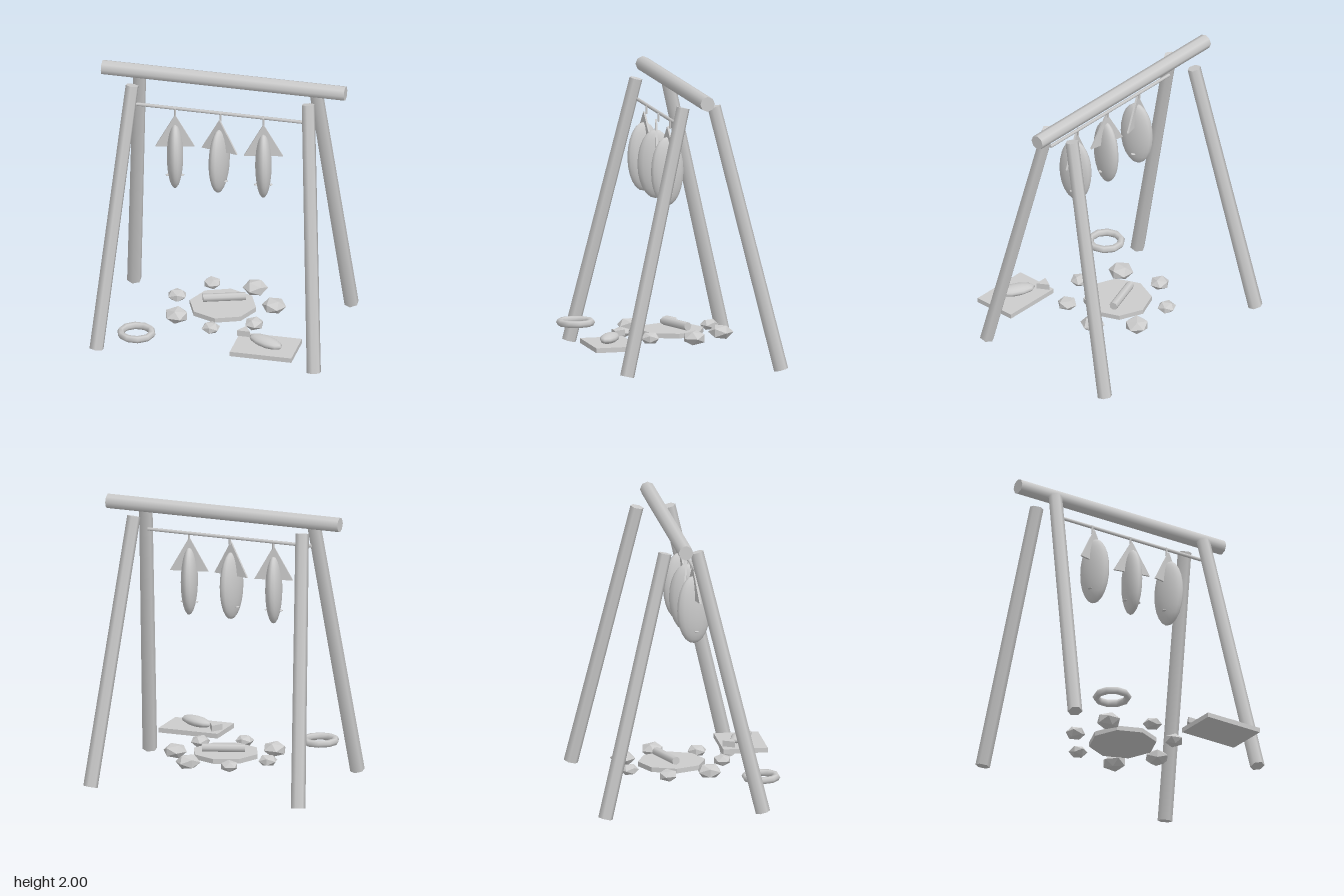
import * as THREE from 'three';

const smooth = new THREE.MeshStandardMaterial({ color: 0xcccccc });
const faceted = new THREE.MeshStandardMaterial({ color: 0xcccccc, flatShading: true });

function add(parent, name, geometry, x, y, z, material = smooth) {
  const mesh = new THREE.Mesh(geometry, material);
  mesh.name = name;
  mesh.position.set(x, y, z);
  parent.add(mesh);
  return mesh;
}

// Tapered round pole between two points
function pole(parent, name, bottom, top, rBottom, rTop, sides) {
  const a = new THREE.Vector3(...bottom), b = new THREE.Vector3(...top);
  const dir = b.clone().sub(a);
  const mid = a.clone().add(b).multiplyScalar(0.5);
  const mesh = add(parent, name, new THREE.CylinderGeometry(rTop, rBottom, dir.length(), sides), mid.x, mid.y, mid.z);
  mesh.quaternion.setFromUnitVectors(new THREE.Vector3(0, 1, 0), dir.normalize());
  return mesh;
}

// Fish hung by its tail, head down
function hangingFish(x, yaw) {
  const fish = new THREE.Group();
  fish.name = 'hangingFish';
  fish.position.set(x, 0, 0.07);
  fish.rotation.y = yaw;

  const body = add(fish, 'fishBody', new THREE.SphereGeometry(1, 16, 12), 0, 1.385, 0);
  body.scale.set(0.058, 0.245, 0.127);

  const outline = new THREE.Shape([
    new THREE.Vector2(-0.138, 1.46), new THREE.Vector2(0.138, 1.46), new THREE.Vector2(0, 1.705),
  ]);
  const tail = new THREE.ExtrudeGeometry(outline, { depth: 0.014, bevelEnabled: false });
  add(fish, 'fishTail', tail, 0, 0, -0.012, faceted);

  for (const s of [-1, 1]) {
    const eye = add(fish, 'fishEye', new THREE.SphereGeometry(1, 8, 6), s * 0.05, 1.235, 0);
    eye.scale.set(0.016, 0.004, 0.018);
  }
  add(fish, 'hook', new THREE.CylinderGeometry(0.008, 0.008, 0.06, 6), 0, 1.715, -0.022);
  return fish;
}

export function createModel() {
  const model = new THREE.Group();
  model.name = 'fishDryingRack';

  // Frame: four splayed legs, ridge beam and hanging rod
  for (const s of [-1, 1]) {
    pole(model, 'frontLeg', [s * 0.787, 0.014, 0.488], [s * 0.638, 1.888, 0.04], 0.052, 0.048, 6);
    pole(model, 'backLeg', [s * 0.787, 0.014, -0.634], [s * 0.638, 1.888, -0.186], 0.052, 0.048, 6);
  }
  pole(model, 'ridgeBeam', [-0.88, 1.948, -0.074], [0.88, 1.948, -0.074], 0.053, 0.053, 8);
  pole(model, 'hangingRod', [-0.62, 1.742, 0.035], [0.62, 1.742, 0.035], 0.012, 0.012, 6);

  // Three hanging fish, turned alternately
  [-1, 0, 1].forEach((i) => model.add(hangingFish(i * 0.32, i ? 0.22 : -0.2)));

  // Fire pit: ash bed, stones around it, one log
  const pitZ = -0.04;
  add(model, 'ashBed', new THREE.CylinderGeometry(0.24, 0.24, 0.034, 8), 0, 0.188, pitZ, faceted);
  const stoneSizes = [0.068, 0.072, 0.088, 0.09, 0.067, 0.072, 0.09];
  stoneSizes.forEach((r, i) => {
    const a = (i / 7) * Math.PI * 2;
    const stone = add(model, 'fireStone', new THREE.IcosahedronGeometry(r, 0),
      Math.sin(a) * 0.36, 0.192, pitZ + Math.cos(a) * 0.36, faceted);
    stone.scale.y = 0.62;
    stone.rotation.y = i * 1.3;
  });
  pole(model, 'log', [-0.142, 0.237, -0.03], [0.142, 0.237, -0.128], 0.03, 0.03, 7);

  // Ring lying on the ground
  const ring = add(model, 'ring', new THREE.TorusGeometry(0.112, 0.026, 6, 10), -0.49, 0.193, 0.52);
  ring.rotation.x = Math.PI / 2;

  // Cutting board with a fish on it
  add(model, 'cuttingBoard', new THREE.BoxGeometry(0.446, 0.034, 0.316), 0.448, 0.188, 0.523);
  const boardFish = add(model, 'boardFishBody', new THREE.SphereGeometry(1, 10, 8), 0.448, 0.236, 0.525);
  boardFish.scale.set(0.148, 0.036, 0.062);
  boardFish.rotation.y = -0.5;
  const boardTail = add(model, 'boardFishTail', new THREE.CylinderGeometry(0.055, 0.055, 0.042, 3), 0.267, 0.238, 0.42, faceted);
  boardTail.rotation.y = Math.PI;

  return model;
}
